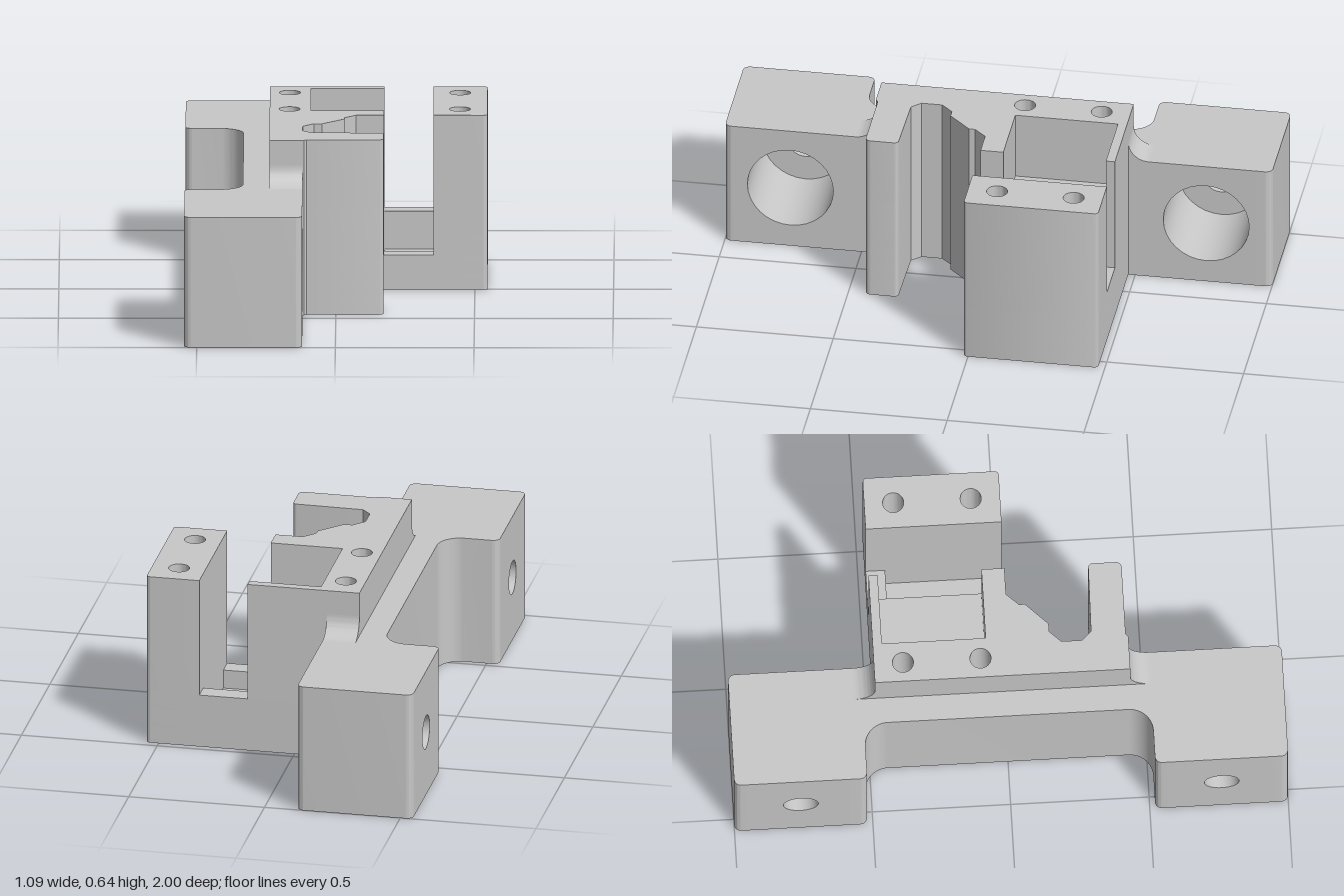
import * as THREE from 'three';
import { toCreasedNormals } from 'three/addons/utils/BufferGeometryUtils.js';

const castGrey = new THREE.MeshStandardMaterial({ color: 0xc8c8c8 });
castGrey.name = 'castGrey';

// Closed outline from [x, z, cornerRadius] points, drawn in plan
function plan(points) {
  const shape = new THREE.Shape();
  const n = points.length;
  const v = (i) => new THREE.Vector2(points[(i + n) % n][0], -points[(i + n) % n][1]);
  points.forEach(([, , r = 0], i) => {
    const p = v(i);
    const a = p.clone().add(v(i - 1).sub(p).setLength(r));
    const b = p.clone().add(v(i + 1).sub(p).setLength(r));
    if (i === 0) shape.moveTo(a.x, a.y); else shape.lineTo(a.x, a.y);
    if (r) {
      // bezier close to a circular arc for right angles
      const k = 0.5523;
      const c = a.clone().lerp(p, k), d = b.clone().lerp(p, k);
      shape.bezierCurveTo(c.x, c.y, d.x, d.y, b.x, b.y);
    }
  });
  shape.closePath();
  return shape;
}

// Holes run counter-clockwise so that their walls face inwards
function round(cx, cy, r) {
  return new THREE.Path().absarc(cx, cy, r, 0, Math.PI * 2, false);
}

function hexagon(cx, cy, r) {
  const pts = [];
  for (let i = 0; i < 6; i++) {
    const a = i * Math.PI / 3;
    pts.push(new THREE.Vector2(cx + r * Math.cos(a), cy + r * Math.sin(a)));
  }
  return new THREE.Path(pts);
}

function solid(name, shape, depth, place) {
  const geo = new THREE.ExtrudeGeometry(shape, { depth, bevelEnabled: false, curveSegments: 16 });
  place(geo);
  const mesh = new THREE.Mesh(toCreasedNormals(geo, 0.45), castGrey);
  mesh.name = name;
  return mesh;
}

// Prism standing between two heights
const upright = (name, shape, y0, y1) =>
  solid(name, shape, y1 - y0, (g) => g.rotateX(-Math.PI / 2).translate(0, y0, 0));
// Prism lying along x; its shape is drawn as (-z, y)
const lengthwise = (name, shape, x0, x1) =>
  solid(name, shape, x1 - x0, (g) => g.rotateY(Math.PI / 2).translate(x0, 0, 0));

export function createModel() {
  const model = new THREE.Group();
  model.name = 'mountingBracket';
  const H = 0.48, TOP = 0.645;
  const L = -0.545, R = -0.12, R0 = 0.025;
  const ZF = 0.447, ZB = -0.475;

  // Spine joining both end blocks
  model.add(upright('spine', plan([
    [L, 0.585], [R, 0.585], [R, ZF], [-0.24, ZF], [-0.24, ZB], [R, ZB], [R, -0.585], [L, -0.585],
    [L, -0.52, R0], [-0.335, -0.52, 0.085], [-0.335, 0.52, 0.085], [L, 0.52, R0],
  ]), 0, H));

  // End blocks with counterbored bolt holes
  for (const s of [1, -1]) {
    const block = new THREE.Group();
    block.name = s > 0 ? 'frontBlock' : 'rearBlock';
    const bore = (r) => {
      const shape = plan([[s * 0.585, 0], [s * 0.94, 0], [s * 0.94, -H], [s * 0.585, -H]]
        .map(([z, y]) => [-z, y]));
      shape.holes.push(round(-s * 0.76, 0.243, r));
      return shape;
    };
    block.add(lengthwise('boltWall', bore(0.063), L, -0.45));
    block.add(lengthwise('counterbore', bore(0.157), -0.45, R));
    block.add(upright('blockEnd', plan([
      [L, s * 0.94], [R, s * 0.94], [R, s, R0], [L, s, R0],
    ]), 0, H));
    model.add(block);

    // Concave fillet from block top up to the head
    const z0 = s > 0 ? ZF : ZB, r = 0.075;
    const fillet = new THREE.Shape();
    fillet.moveTo(-z0, H);
    fillet.lineTo(-(z0 + s * r), H);
    const k = r * 0.4477;
    fillet.bezierCurveTo(-(z0 + s * k), H, -z0, H + k, -z0, H + r);
    fillet.closePath();
    model.add(lengthwise('topFillet', fillet, -0.24, R));
  }

  // Stepped front edge of the head, with the clamp finger
  const XS = 0.172, XE = 0.545, ZE = 0.016;
  const edge = [
    [0.072, ZE], [0.03, 0.06], [0.03, 0.082], [-0.05, 0.163], [-0.08, 0.163],
    [R, 0.205], [R, 0.28], [-0.088, 0.314], [XS, 0.318, 0.015], [XS, 0.438, 0.02],
    [-0.106, 0.438], [-0.115, ZF], [-0.24, ZF], [-0.24, ZB],
  ];
  const outer = [[XE, ZB, 0.015], [XE, ZE, 0.015]];
  const screws = (shape, xs, hole, r) => {
    for (const x of xs) for (const z of [-0.37, -0.09]) shape.holes.push(hole(x, -z, r));
    return shape;
  };
  const SX = [-0.168, 0.446];
  const head = new THREE.Group();
  head.name = 'head';

  // Floor with nut recesses
  head.add(upright('headFloor', screws(plan([...outer, ...edge]), SX, hexagon, 0.06), 0, 0.06));
  // Closed well in the channel
  const well = screws(plan([...outer, ...edge]), SX, hexagon, 0.06);
  well.holes.push(new THREE.Path([[XS, 0.052], [0.35, 0.052], [0.35, 0.405], [XS, 0.405]]
    .map(([x, y]) => new THREE.Vector2(x, y))));
  head.add(upright('channelWell', well, 0.06, 0.13));
  // Channel opens to the front, rear sill remains
  head.add(upright('channelSill', screws(plan([
    ...outer, [0.35, ZE], [0.35, -0.405], [XS, -0.405], [XS, ZE], ...edge,
  ]), SX, round, 0.038), 0.13, 0.2));
  // Main body and the upper pocket
  head.add(upright('headBody', screws(plan([
    [XS, ZB], [XS, ZE], ...edge,
  ]), [SX[0]], round, 0.038), 0.2, 0.39));
  head.add(upright('pocketWalls', screws(plan([
    [XS, ZB], [XS, -0.442], [-0.092, -0.442], [-0.092, -0.067], [XS, -0.067], [XS, ZE], ...edge,
  ]), [SX[0]], round, 0.038), 0.39, TOP));
  // Separate pillar beyond the channel
  head.add(upright('pillar', screws(plan([
    [0.35, ZB], ...outer, [0.35, ZE],
  ]), [SX[1]], round, 0.038), 0.2, TOP));
  model.add(head);
  return model;
}
